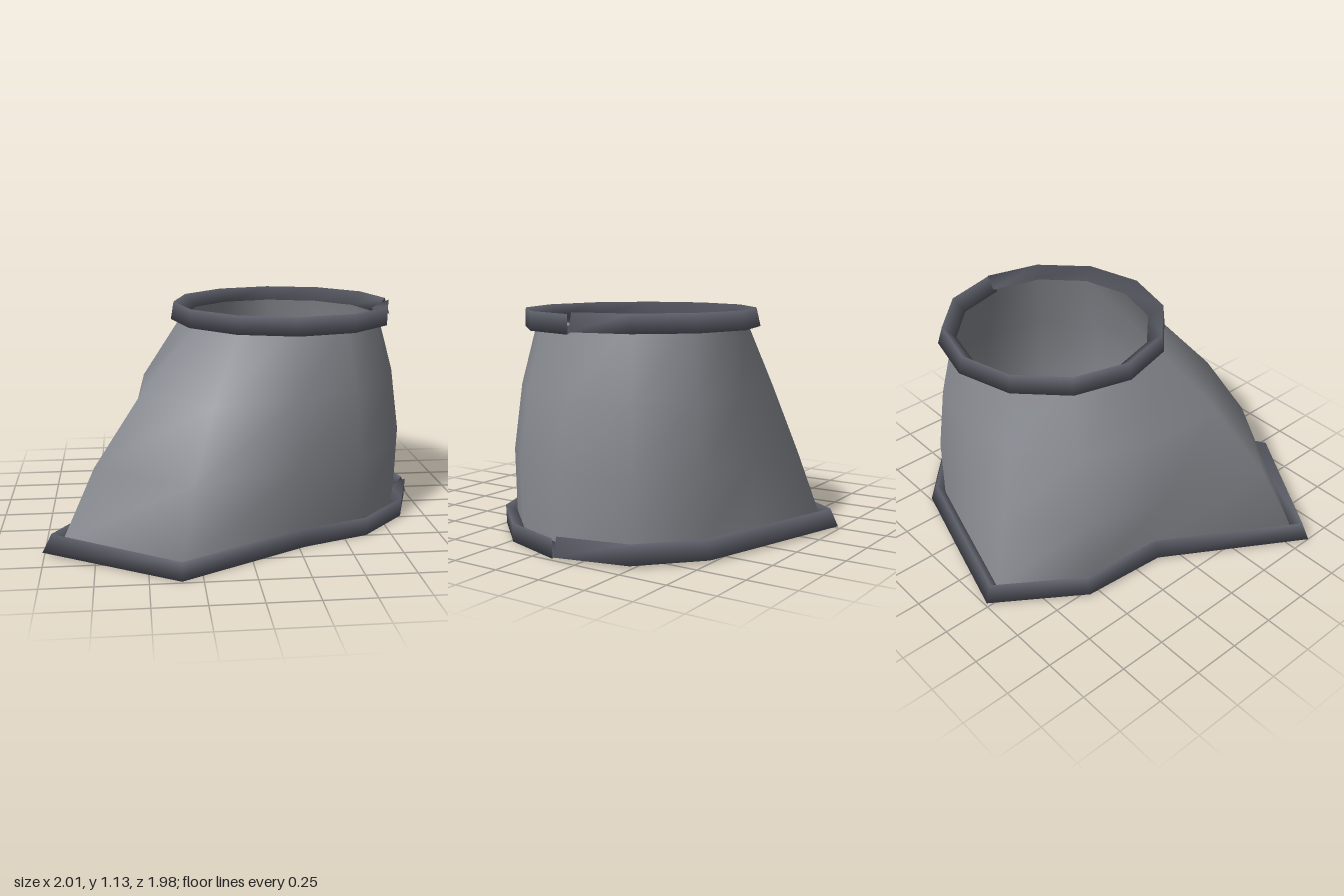
import * as THREE from 'three';

const wallMaterial = new THREE.MeshStandardMaterial({ color: 0x878a90, side: THREE.DoubleSide });
const rimMaterial = new THREE.MeshStandardMaterial({ color: 0x5c5e68, side: THREE.DoubleSide });
const SIDES = 12;
const CENTER = new THREE.Vector3(0.26, 0, -0.113);
const UP = new THREE.Vector3(0, 1, 0);

// Skin rows[j][i] of points, with column or row direction optionally closed
function skin(name, material, rows, closeColumns, closeRows) {
  const n = rows[0].length, m = rows.length, index = [];
  for (let j = 0; j < (closeRows ? m : m - 1); j++) {
    for (let i = 0; i < (closeColumns ? n : n - 1); i++) {
      const i2 = (i + 1) % n, j2 = (j + 1) % m;
      const a = j * n + i, b = j * n + i2, c = j2 * n + i2, d = j2 * n + i;
      index.push(a, b, c, a, c, d);
    }
  }
  const geometry = new THREE.BufferGeometry().setFromPoints(rows.flat());
  geometry.setIndex(index);
  geometry.computeVertexNormals();
  const mesh = new THREE.Mesh(geometry, material);
  mesh.name = name;
  return mesh;
}

// Three-sided bead swept round a loop, mitred at corners, with a seam at the start
function bead(name, loop, radius, tilt) {
  const path = [...loop, loop[0]];
  const outward = (a, b) => b.clone().sub(a).normalize().cross(UP);
  const rows = [0, 1, 2].map((k) => path.map((p, i) => {
    const before = outward(path[Math.max(i - 1, 0)], path[Math.max(i, 1)]);
    const after = outward(path[Math.min(i, SIDES - 1)], path[Math.min(i + 1, SIDES)]);
    const miter = before.clone().add(after);
    miter.multiplyScalar(2 / miter.lengthSq());
    const angle = Math.PI / 3 * (2 * k - 1) + THREE.MathUtils.degToRad(tilt(i));
    return p.clone().addScaledVector(miter, radius * Math.cos(angle))
      .addScaledVector(UP, radius * Math.sin(angle));
  }));
  return skin(name, rimMaterial, rows, false, true);
}

// Regular polygon for the opening at the top
function ring(radius, y) {
  return Array.from({ length: SIDES }, (_, i) => {
    const a = i / SIDES * Math.PI * 2;
    return new THREE.Vector3(CENTER.x + radius * Math.cos(a), y, CENTER.z - radius * Math.sin(a));
  });
}

export function createModel() {
  const group = new THREE.Group();
  group.name = 'flaredCollar';

  // Irregular footprint, one corner per side of the top ring
  const footprint = [
    [0.955, -0.115], [0.87, -0.47], [0.61, -0.71], [0.26, -0.81],
    [-0.22, -0.945], [-0.495, -0.545], [-0.53, -0.1], [-0.95, 0.585],
    [-0.35, 0.955], [0.27, 0.6], [0.605, 0.475], [0.845, 0.22],
  ].map(([x, z]) => new THREE.Vector3(x, 0.055, z));

  // Body wall: blend from footprint to top ring with an outward bulge
  const bulge = [0.055, 0.05, 0.04, 0.015, 0.01, 0.09, 0.15, 0.09, 0.11, 0.08, 0.05, 0.05];
  const top = ring(0.525, 1.085);
  const rows = [0, 1, 0.95, 0].map((swell, j) => footprint.map((p, i) => {
    const foot = new THREE.Vector3(p.x * 0.96, 0.06, p.z * 0.96);
    const point = foot.lerp(top[i], j / 3);
    const out = point.clone().sub(CENTER).setY(0).normalize();
    return point.addScaledVector(out, bulge[i] * swell);
  }));
  group.add(skin('bodyWall', wallMaterial, rows, true, false));

  // Rim beads round both openings, their section turning slightly along the way
  group.add(bead('baseRim', footprint, 0.056, (i) => (i < 8 ? 20 : -2)));
  group.add(bead('topRim', ring(0.562, 1.085), 0.055, (i) => 20 - 22 * i / SIDES));

  return group;
}
